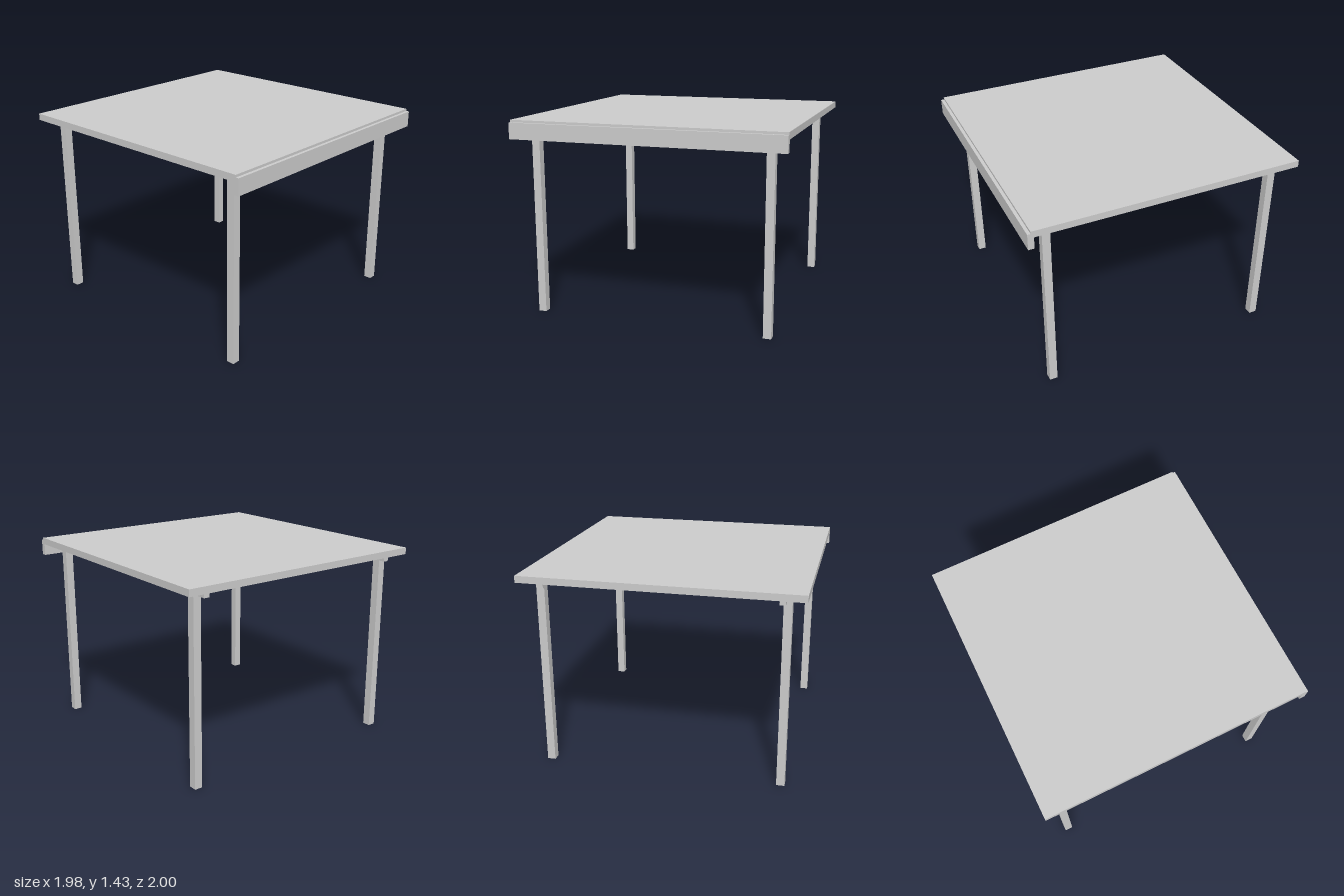
import * as THREE from 'three';

const material = new THREE.MeshStandardMaterial({ color: 0xcccccc, flatShading: true });

// Box given by its [min, max] extent on each axis
function addBox(group, name, [x0, x1], [y0, y1], [z0, z1]) {
  const mesh = new THREE.Mesh(new THREE.BoxGeometry(x1 - x0, y1 - y0, z1 - z0), material);
  mesh.position.set((x0 + x1) / 2, (y0 + y1) / 2, (z0 + z1) / 2);
  mesh.name = name;
  group.add(mesh);
}

export function createModel() {
  const group = new THREE.Group();
  group.name = 'table';
  const halfWidth = 0.988;
  const underside = 1.385;

  // Flat top and the deeper board along its front edge
  addBox(group, 'tableTop', [-halfWidth, halfWidth], [underside, 1.434], [-1, 0.977]);
  addBox(group, 'frontBoard', [-halfWidth, halfWidth], [1.3, 1.417], [0.957, 1]);

  for (const side of [1, -1]) {
    const label = side > 0 ? 'left' : 'right';
    const span = (a, b) => (side > 0 ? [a, b] : [-b, -a]);

    // Rail under the top, running front to back through the legs
    addBox(group, `${label}Rail`, span(0.804, 0.844), [1.344, underside], [-0.956, 0.932]);

    // Square legs
    addBox(group, `${label}FrontLeg`, span(0.823, 0.881), [0, underside], [0.812, 0.87]);
    addBox(group, `${label}BackLeg`, span(0.823, 0.881), [0, underside], [-0.892, -0.833]);
  }
  return group;
}
